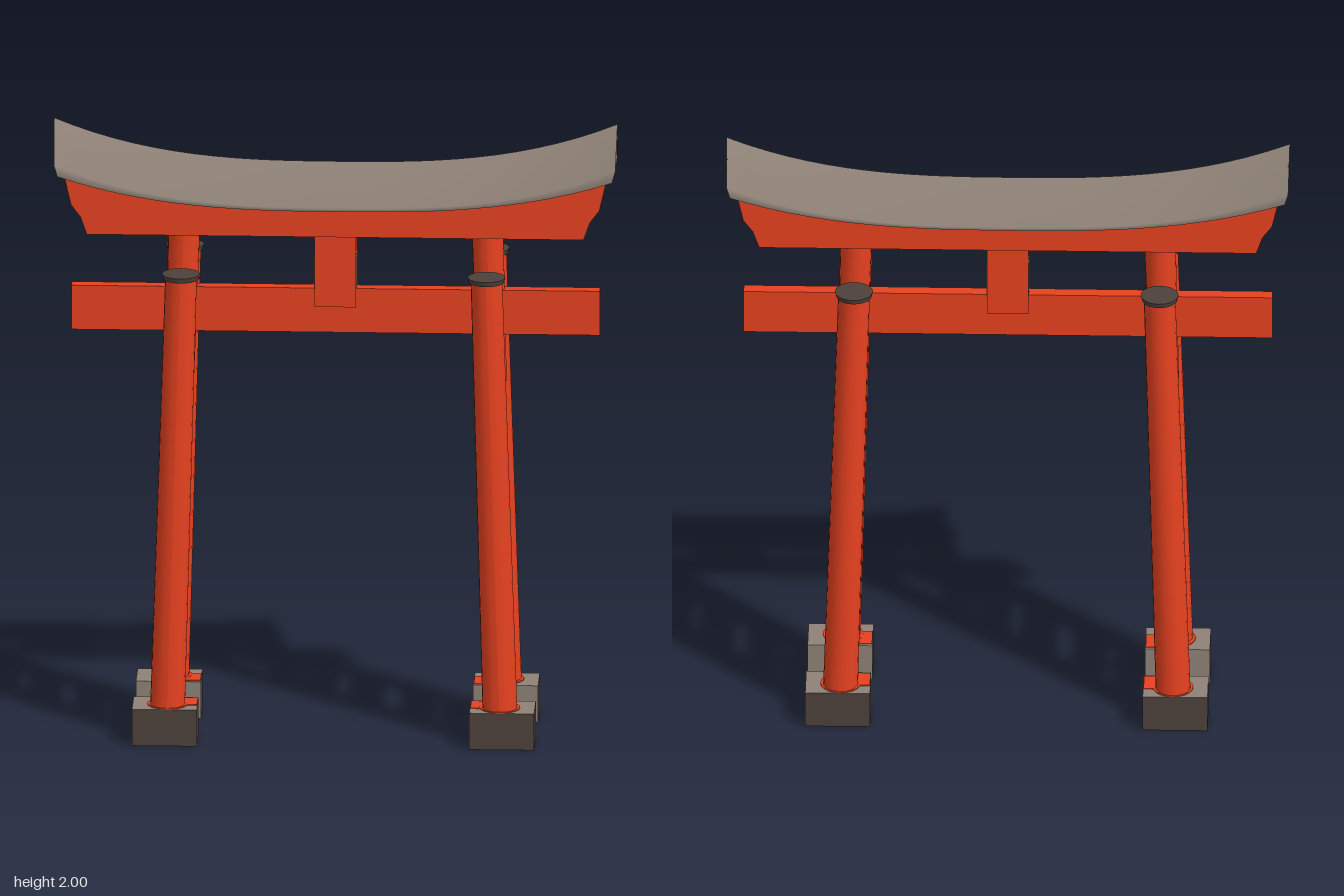
import * as THREE from 'three';

const mat = (name, color) => {
  const m = new THREE.MeshStandardMaterial({ color });
  m.name = name;
  return m;
};

// Curves of the roof along x
const HALF = 0.89;
const rise = x => Math.pow(Math.min(1, Math.abs(x) / HALF), 2.8);
const ridgeY = x => 1.867 + 0.133 * rise(x);
const eaveY = x => 1.743 + 0.132 * rise(x);
const underY = x => 1.73 + 0.105 * rise(x);
const recessY = x => 1.745 + 0.122 * rise(x);

// Legs lean inwards: centre x at a height
const legX = y => 0.525 - 0.03 * (y - 0.12);

export function createModel() {
  const red = mat('vermilion paint', 0xe84220);
  const stone = mat('light grey roof', 0x8f8277);
  const dark = mat('dark grey stone', 0x4d423b);
  const worn = mat('worn paint', 0xcf9a8c);
  const model = new THREE.Group();
  model.name = 'gate';

  const add = (name, geometry, material, parent = model) => {
    const mesh = new THREE.Mesh(geometry, material);
    mesh.name = name;
    parent.add(mesh);
    return mesh;
  };
  const box = (name, w, h, d, x, y, z, material, parent) => {
    const mesh = add(name, new THREE.BoxGeometry(w, h, d), material, parent);
    mesh.position.set(x, y, z);
    return mesh;
  };

  // Roof cross-section: front lip, eave, ridge, back eave, back lip, recess under the roof
  const section = [
    x => [x * 0.985, underY(x), 0.1],
    x => [x * 0.997, eaveY(x), 0.105],
    x => [x, ridgeY(x), 0],
    x => [x * 0.997, eaveY(x), -0.105],
    x => [x * 0.985, underY(x), -0.1],
    x => [x * 0.99, recessY(x), -0.055],
    x => [x * 0.99, recessY(x), 0.055],
  ];
  const roof = new THREE.Group();
  roof.name = 'roof';
  model.add(roof);
  const strip = (name, from, to, material) => {
    const rows = to - from;
    const g = new THREE.PlaneGeometry(2 * HALF, 1, 28, rows);
    const p = g.attributes.position;
    for (let i = 0; i < p.count; i++) {
      const row = from + Math.round((p.getY(i) + 0.5) * rows);
      p.setXYZ(i, ...section[row % 7](p.getX(i)));
    }
    g.computeVertexNormals();
    add(name, g, material, roof);
  };
  strip('frontSlope', 0, 2, stone);
  strip('backSlope', 2, 4, stone);
  strip('underside', 4, 7, dark);

  // Roof ends: pale gable, dark lips and a dark weathered patch
  const endFaces = (name, s, faces, material) => {
    const g = new THREE.BufferGeometry();
    const corners = faces.flatMap(([a, b, c]) => (s > 0 ? [a, c, b] : [a, b, c]));
    g.setAttribute('position', new THREE.Float32BufferAttribute(
      corners.flatMap(i => section[i](s * HALF)), 3));
    g.computeVertexNormals();
    add(name, g, material, roof);
  };
  for (const s of [-1, 1]) {
    endFaces('gable', s, [[1, 2, 3], [1, 3, 5], [1, 5, 6]], stone);
    endFaces('lipEnds', s, [[0, 1, 6], [3, 4, 5]], dark);
    box('gablePatch', 0.005, 0.042, 0.07, s * 0.888, 1.925, -0.012, dark, roof);
  }

  // Top beam with flared ends, its upper edge following the roof
  const outline = [[-0.785, 1.633], [0.785, 1.633], [0.805, 1.69], [0.835, 1.73]];
  for (let i = 0; i <= 24; i++) {
    const x = 0.866 * (1 - i / 12);
    outline.push([x, recessY(x) + 0.006]);
  }
  outline.push([-0.835, 1.73], [-0.805, 1.69]);
  const beam = new THREE.ExtrudeGeometry(
    new THREE.Shape(outline.map(p => new THREE.Vector2(...p))),
    { depth: 0.11, bevelEnabled: false });
  beam.translate(0, 0, -0.055);
  add('topBeam', beam, red);

  // Tie beam and the short post above it, worn on its sides
  box('tieBeam', 1.67, 0.145, 0.042, 0, 1.382, 0, red);
  box('centrePost', 0.13, 0.235, 0.09, 0, 1.517, 0, red);
  for (const s of [-1, 1]) {
    box('wornPatch', 0.004, 0.11, 0.07, s * 0.065, 1.51, 0, worn);
  }

  // Upright cylinder sheared to the lean of the legs
  const leaning = (name, r0, r1, y0, y1, z, side, parent, depthAt) => {
    const g = new THREE.CylinderGeometry(r1, r0, y1 - y0, 20, 8);
    g.translate(0, (y0 + y1) / 2, 0);
    const p = g.attributes.position;
    for (let i = 0; i < p.count; i++) {
      const y = p.getY(i);
      p.setX(i, p.getX(i) + side * legX(y));
      p.setZ(i, p.getZ(i) * (depthAt ? depthAt(y) : 1) + z);
    }
    g.computeVertexNormals();
    add(name, g, red, parent);
  };

  for (const side of [-1, 1]) {
    const leg = new THREE.Group();
    leg.name = side > 0 ? 'leftLeg' : 'rightLeg';
    model.add(leg);

    // Main pillar, thinning to a wedge at its foot
    leaning('mainPillar', 0.046, 0.05, 1.15, 1.64, 0, side, leg,
      y => 0.3 + 0.7 * Math.min(1, (y - 1.15) / 0.27));

    for (const z of [-0.165, 0.165]) {
      leaning('sidePillar', 0.055, 0.05, 0.11, 1.53, z, side, leg);
      const cap = add('pillarCap', new THREE.CylinderGeometry(0.06, 0.056, 0.016, 20), dark, leg);
      cap.position.set(side * legX(1.53), 1.532, z);
      // Spilt paint round the foot of the pillar and towards the inner edge of the block
      const spill = add('paintSpill', new THREE.CylinderGeometry(0.064, 0.064, 0.004, 20), red, leg);
      spill.position.set(side * legX(0.12), 0.121, Math.sign(z) * 0.16);
      box('paintSpill', 0.05, 0.004, 0.08, side * 0.457, 0.1205, Math.sign(z) * 0.135, red, leg);
      // Foot block: paler on top and on the face towards the other block
      const faces = [dark, dark, stone, dark, z < 0 ? stone : dark, z > 0 ? stone : dark];
      box('footBlock', 0.205, 0.12, 0.14, side * 0.533, 0.06, Math.sign(z) * 0.155, faces, leg);
    }

    // Rungs between the side pillars; the lowest is dark on its inner face
    const rungs = [[0.195, 0.27], [0.395, 0.49], [0.65, 0.755], [0.887, 0.977], [1.067, 1.157]];
    rungs.forEach(([y0, y1], i) => {
      const y = (y0 + y1) / 2;
      const inner = i === 0 ? dark : red;
      const faces = [side < 0 ? inner : red, side > 0 ? inner : red, red, red, red, red];
      box('rung', 0.055, y1 - y0, 0.25, side * legX(y), y, 0, faces, leg);
    });

    // Short strut, and worn paint on the inner faces
    box('strut', 0.04, 0.14, 0.04, side * legX(0.33), 0.333, 0, red, leg);
    const patches = [ // height, size up, size deep, z, distance in from the leg's centre
      [0.333, 0.1, 0.036, 0, 0.02],
      [0.445, 0.055, 0.12, 0, 0.0275],
      [0.72, 0.05, 0.06, -0.06, 0.0275],
      [1.125, 0.045, 0.12, 0, 0.0275],
    ];
    for (const [y, h, d, z, inset] of patches) {
      box('wornPatch', 0.004, h, d, side * (legX(y) - inset), y, z, worn, leg);
    }
  }
  return model;
}
